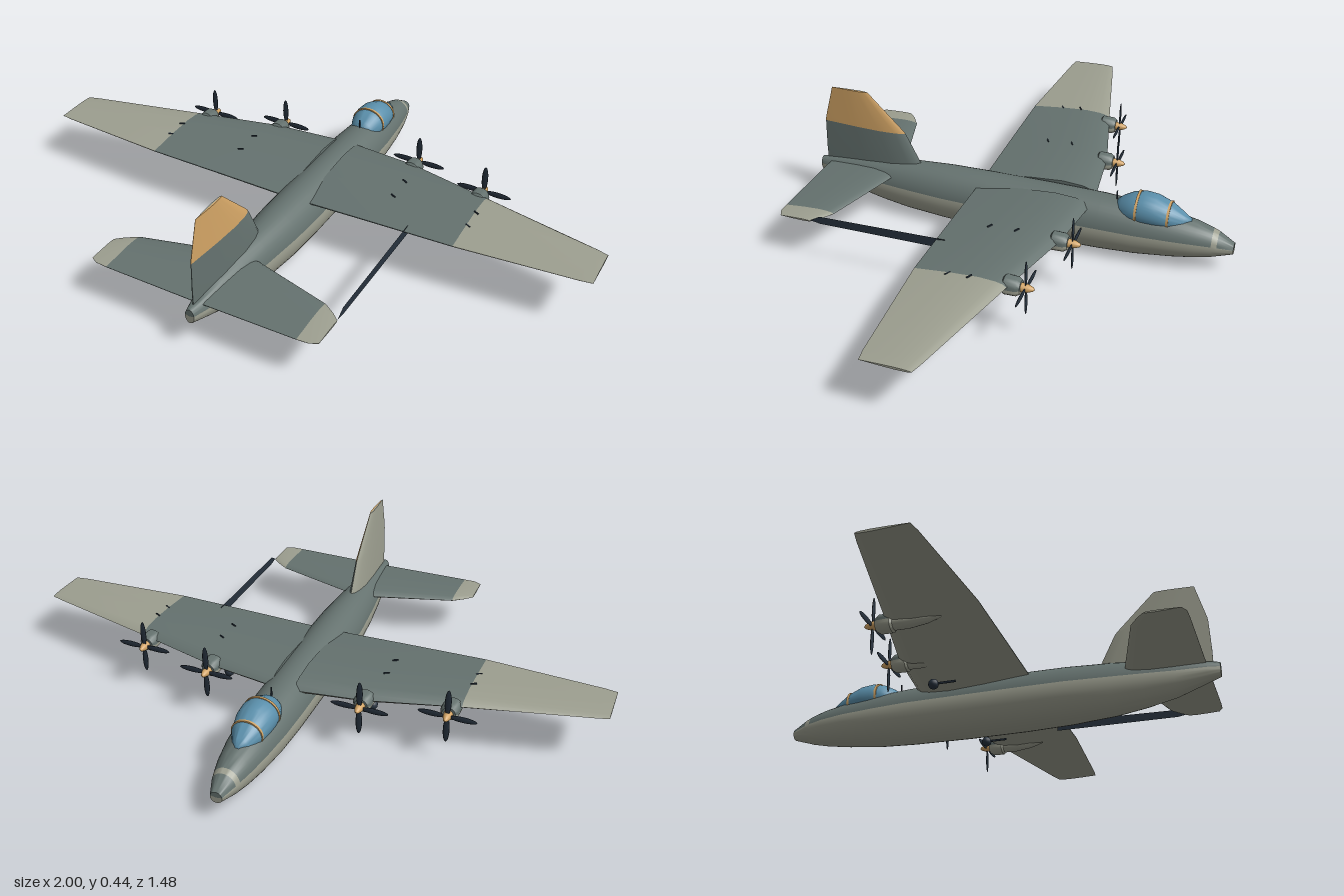
import * as THREE from 'three';
import { toCreasedNormals } from 'three/addons/utils/BufferGeometryUtils.js';

const mat = (name, color) => {
  const m = new THREE.MeshStandardMaterial({ color });
  m.name = name;
  return m;
};

// Skin a series of closed rings, cap both ends, and pick a material per face by pick(x, y, z, j)
function loft(name, rings, mats, pick, crease = 0.7) {
  const pos = rings.flat(2), n = rings[0].length, last = rings.length - 1;
  const buckets = mats.map(() => []);
  const add = (ids, j) => {
    const c = [0, 1, 2].map(k => ids.reduce((s, i) => s + pos[i * 3 + k], 0) / ids.length);
    const b = buckets[pick(c[0], c[1], c[2], j)];
    for (let k = 1; k < ids.length - 1; k++) b.push(ids[0], ids[k], ids[k + 1]);
  };
  for (let i = 0; i < last; i++) for (let j = 0; j < n; j++) {
    const k = (j + 1) % n;
    add([i * n + j, i * n + k, (i + 1) * n + k, (i + 1) * n + j], j);
  }
  for (const i of [0, last]) {
    const centre = pos.length / 3;
    pos.push(...[0, 1, 2].map(k => rings[i].reduce((s, p) => s + p[k], 0) / n));
    for (let j = 0; j < n; j++) {
      const a = i * n + j, b = i * n + (j + 1) % n;
      add(i ? [centre, a, b] : [centre, b, a], j);
    }
  }
  const geo = new THREE.BufferGeometry();
  geo.setAttribute('position', new THREE.Float32BufferAttribute(pos, 3));
  geo.setIndex(buckets.flat());
  let start = 0;
  buckets.forEach((b, i) => { geo.addGroup(start, b.length, i); start += b.length; });
  const mesh = new THREE.Mesh(toCreasedNormals(geo, crease), mats);
  mesh.name = name;
  return mesh;
}

// Elliptical ring across the body: [z, half width, bottom, top]
const ring = ([z, w, b, t], n = 36) => Array.from({ length: n }, (_, j) => {
  const a = j / n * Math.PI * 2;
  return [w * Math.cos(a), (t + b) / 2 + (t - b) / 2 * Math.sin(a), z];
});

// Aerofoil outline: fraction of chord, fraction of half thickness
const FOIL = [[0, 0], [0.04, 0.5], [0.12, 0.82], [0.3, 1], [0.6, 0.72], [1, 0.06],
  [1, -0.06], [0.6, -0.72], [0.3, -1], [0.12, -0.82], [0.04, -0.5]];

// Horizontal surface from sections [x, leading z, trailing z, y, half thickness]
function plane(name, side, sections, mats, tipX) {
  const rings = sections.map(([x, le, te, y, h]) =>
    FOIL.map(([c, t]) => [side * x, y + t * h, le + c * (te - le)]));
  if (side < 0) rings.reverse();
  return loft(name, rings, mats, (x, y, z, j) => (j > 5 || Math.abs(x) > tipX ? 1 : 0));
}

export function createModel() {
  const dark = mat('darkGreyGreen', 0x65726f), light = mat('paleGrey', 0x9d9f90);
  const orange = mat('orange', 0xd2a465), blue = mat('canopyBlue', 0x5a8fab);
  const navy = mat('navyBlack', 0x27323e);
  navy.side = THREE.DoubleSide;
  const paint = [dark, light];
  const model = new THREE.Group();
  const mesh = (name, geo, m, x, y, z, parent = model) => {
    const o = new THREE.Mesh(geo, m);
    o.name = name;
    o.position.set(x, y, z);
    parent.add(o);
    return o;
  };

  // Fuselage: dark back, pale belly, pale patch on the nose
  const body = [[-0.742, 0.02, 0.068, 0.106], [-0.69, 0.04, 0.052, 0.136], [-0.672, 0.045, 0.046, 0.144],
    [-0.62, 0.058, 0.035, 0.16], [-0.54, 0.071, 0.023, 0.175], [-0.42, 0.082, 0.01, 0.188],
    [-0.3, 0.087, 0.004, 0.197], [-0.1, 0.088, 0, 0.2], [0.1, 0.088, 0, 0.2], [0.25, 0.084, 0.004, 0.199],
    [0.4, 0.071, 0.014, 0.193], [0.5, 0.06, 0.029, 0.184], [0.6, 0.046, 0.05, 0.172],
    [0.7, 0.028, 0.086, 0.157], [0.742, 0.016, 0.1, 0.15]];
  model.add(loft('fuselage', body.map(s => ring(s)), paint, (x, y, z, j) =>
    (j < 1 || j > 16 || (z > -0.689 && z < -0.673) ? 1 : 0)));

  // Canopy bubble with two frame hoops
  const bubble = [[-0.598, 0.008, 0.13, 0.17], [-0.575, 0.028, 0.12, 0.184], [-0.53, 0.05, 0.12, 0.211],
    [-0.48, 0.06, 0.12, 0.231], [-0.44, 0.062, 0.12, 0.235], [-0.4, 0.057, 0.12, 0.226],
    [-0.365, 0.044, 0.12, 0.207], [-0.348, 0.028, 0.13, 0.192]];
  model.add(loft('canopy', bubble.map(s => ring(s)), [blue], () => 0, 1.2));
  for (const [z, w, t] of [[-0.525, 0.053, 0.216], [-0.42, 0.062, 0.234]])
    model.add(loft('canopyFrame', [-0.004, 0.004].map(d => ring([z + d, w, 0.12, t])), [orange], () => 0));

  // Fin: one painted face, the other plain pale grey
  const finSections = [[0.14, 0.33, 0.72, 0.022], [0.2, 0.36, 0.72, 0.02], [0.3, 0.41, 0.716, 0.014],
    [0.315, 0.424, 0.714, 0.013], [0.435, 0.545, 0.68, 0.005]];
  model.add(loft('fin', finSections.map(([y, le, te, h]) =>
    FOIL.map(([c, t]) => [-t * h, y, le + c * (te - le)])), [dark, light, orange],
  (x, y) => (x < -0.0005 ? 1 : y > 0.3 ? 2 : 0)));

  const wing = [[0.04, -0.264, 0.13, 0.17, 0.03], [0.27, -0.238, 0.13, 0.176, 0.026],
    [0.565, -0.165, 0.13, 0.182, 0.018], [0.96, -0.07, 0.104, 0.185, 0.007], [1, -0.058, 0.098, 0.185, 0.004]];
  const stabilizer = [[0.02, 0.437, 0.7, 0.147, 0.015], [0.335, 0.525, 0.7, 0.15, 0.009],
    [0.375, 0.552, 0.698, 0.151, 0.006], [0.4, 0.575, 0.685, 0.151, 0.003]];
  const nacelle = [[0, 0.022], [0.012, 0.03], [0.05, 0.031], [0.056, 0.024], [0.1, 0.025], [0.16, 0.018], [0.21, 0.004]];

  for (const side of [1, -1]) {
    const label = side > 0 ? 'left' : 'right';
    model.add(plane(label + 'Wing', side, wing, paint, 0.565));
    model.add(plane(label + 'Stabilizer', side, stabilizer, paint, 0.335));

    // Engines with spinner and four-bladed propeller
    for (const [x, z] of [[0.267, -0.262], [0.533, -0.2]]) {
      const engine = new THREE.Group();
      engine.name = label + 'Engine';
      engine.position.set(side * x, 0.171, z);
      engine.add(loft('nacelle', nacelle.map(([d, r]) => ring([d, r, -r, r], 20)), paint,
        (px, py) => (py < -0.002 ? 1 : 0)));
      const spinner = [[0.0001, -0.042], [0.007, -0.036], [0.013, -0.02], [0.015, 0.004]]
        .map(p => new THREE.Vector2(...p));
      mesh('spinner', new THREE.LatheGeometry(spinner, 16).rotateX(Math.PI / 2), orange, 0, 0, 0, engine);
      for (let k = 0; k < 4; k++) {
        const blade = new THREE.SphereGeometry(1, 10, 8).scale(0.011, 0.046, 0.003).translate(0, 0.05, 0);
        mesh('propellerBlade', blade.rotateZ(k * Math.PI / 2), navy, 0, 0, -0.014, engine);
      }
      model.add(engine);
    }

    // Underwing gun: round mount with a rearward barrel
    mesh(label + 'GunMount', new THREE.SphereGeometry(0.017, 14, 10), navy, side * 0.26, 0.085, -0.124);
    mesh(label + 'GunBarrel', new THREE.CylinderGeometry(0.004, 0.004, 0.075, 8).rotateX(Math.PI / 2),
      navy, side * 0.26, 0.086, -0.088);

    // Small fittings on the upper wing
    for (const [x, z, y] of [[0.295, -0.1, 0.202], [0.295, -0.01, 0.198], [0.57, -0.05, 0.2], [0.57, 0.02, 0.194]])
      mesh('wingFitting', new THREE.BoxGeometry(0.02, 0.004, 0.004), navy, side * x, y, z).rotation.y = -side * 0.5;
  }

  // Flat strut from the left wing to the left tail tip, and a short mast
  const strut = new THREE.Shape([[0.1, 0.152], [0.1, 0.186], [0.54, 0.176], [0.575, 0.155], [0.54, 0.149]]
    .map(p => new THREE.Vector2(...p)));
  mesh('tailStrut', new THREE.ShapeGeometry(strut).rotateY(-Math.PI / 2), navy, 0.4, 0, 0);
  mesh('mast', new THREE.BoxGeometry(0.004, 0.035, 0.004), navy, 0, 0.207, -0.346);
  return model;
}
